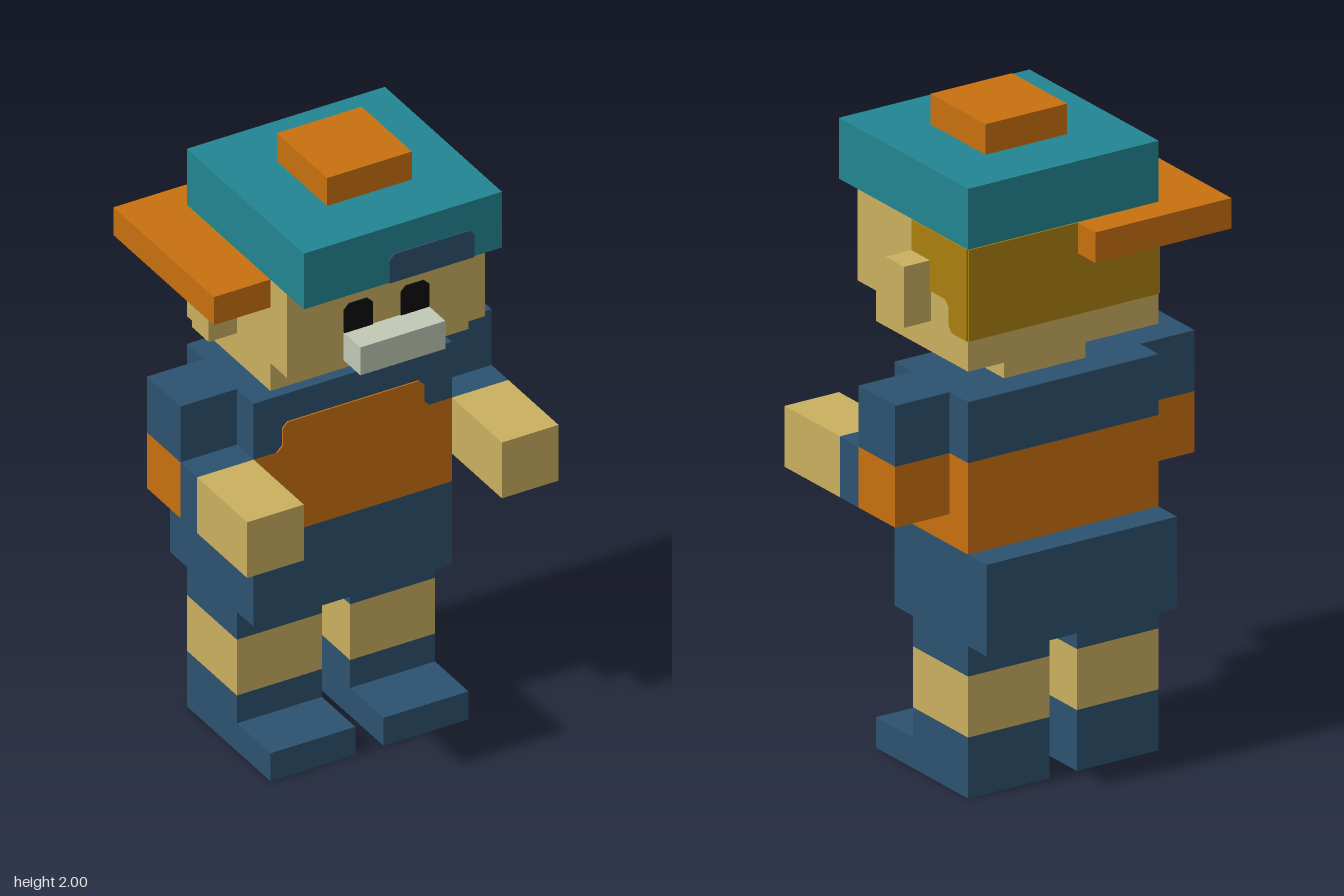
import * as THREE from 'three';

const U = 2 / 21; // one building unit; the figure is 21 units tall
const T = 0.05;   // thickness of painted plates, in units

function mat(name, color) {
  const m = new THREE.MeshStandardMaterial({ color });
  m.name = name;
  return m;
}

export function createModel() {
  const skin = mat('skin', 0xc9af5f);
  const navy = mat('navy', 0x2c526f);
  const orange = mat('orange', 0xc8700f);
  const teal = mat('teal', 0x228591);
  const hair = mat('hair', 0xab7f0e);
  const grey = mat('paleGrey', 0xc0c8b5);
  const black = mat('black', 0x0c0c0c);

  const model = new THREE.Group();
  model.name = 'blockFigure';
  model.scale.setScalar(U);

  const part = (name, parent = model) => {
    const g = new THREE.Group();
    g.name = name;
    parent.add(g);
    return g;
  };

  // Box given by its limits on each axis
  const box = (parent, name, material, [x0, x1], [y0, y1], [z0, z1]) => {
    const geo = new THREE.BoxGeometry(x1 - x0, y1 - y0, z1 - z0);
    geo.translate((x0 + x1) / 2, (y0 + y1) / 2, (z0 + z1) / 2);
    const mesh = new THREE.Mesh(geo, material);
    mesh.name = name;
    parent.add(mesh);
    return mesh;
  };

  // Thin painted plate cut from an outline
  const plate = (parent, name, material, points) => {
    const shape = new THREE.Shape(points.map(([x, y]) => new THREE.Vector2(x, y)));
    const geo = new THREE.ExtrudeGeometry(shape, { depth: T, bevelEnabled: false });
    const mesh = new THREE.Mesh(geo, material);
    mesh.name = name;
    parent.add(mesh);
    return mesh;
  };

  // Rectangle with nipped upper corners
  const tab = (x0, x1, y0, y1, c = 0.18) => [
    [x0, y0], [x1, y0], [x1, y1 - c], [x1 - c, y1], [x0 + c, y1], [x0, y1 - c],
  ];

  // Legs and arms, mirrored
  for (const s of [1, -1]) {
    const side = s > 0 ? 'left' : 'right';
    const span = (a, b) => (s > 0 ? [a, b] : [-b, -a]);

    const leg = part(side + 'Leg');
    const lx = span(0.5, 3.5);
    box(leg, 'trouserHem', navy, lx, [4, 5], [-3, 0]);
    box(leg, 'shin', skin, lx, [2, 4], [-3, 0]);
    box(leg, 'boot', navy, lx, [0, 2], [-3, 0]);
    box(leg, 'toe', navy, lx, [0, 1], [0, 2]);

    const arm = part(side + 'Arm');
    const ax = span(3.5, 5.5);
    box(arm, 'shoulder', navy, ax, [11, 13], [-2, 0]);
    box(arm, 'elbow', orange, ax, [9, 11], [-2, 0]);
    box(arm, 'cuff', navy, ax, [9, 11], [0, 1]);
    box(arm, 'forearm', skin, ax, [9, 11], [1, 4]);
  }

  // Torso
  const torso = part('torso');
  box(torso, 'hips', navy, [-3.5, 3.5], [5, 8], [-4, 1]);
  box(torso, 'belly', orange, [-3.5, 3.5], [8, 11], [-3, 1]);
  box(torso, 'chest', navy, [-3.5, 3.5], [11, 13], [-3, 1]);
  plate(torso, 'bib', orange, [
    [-2.7, 11], [2.7, 11], [2.5, 11.2], [2.5, 11.82],
    [2.32, 12], [-2.32, 12], [-2.5, 11.82], [-2.5, 11.2],
  ]).position.z = 1;

  // Head
  const head = part('head');
  box(head, 'neck', skin, [-1.5, 1.5], [13, 14], [-2, 0]);
  box(head, 'chin', skin, [-3.5, 3.5], [14, 15], [-3, 2]);
  box(head, 'face', skin, [-3.5, 3.5], [15, 18], [-3, 3]);
  box(head, 'muzzle', grey, [-1.5, 1.5], [15, 16], [3, 4]);
  for (const s of [1, -1]) {
    const side = s > 0 ? 'left' : 'right';
    box(head, side + 'Ear', skin, s > 0 ? [3.5, 4.5] : [-4.5, -3.5], [15, 17], [-1, 0]);
    plate(head, side + 'Eye', black, tab(s - 0.5, s + 0.5, 16, 17)).position.z = 3;

    // Hair on the side of the head, drawn with depth running backwards
    const sideHair = plate(head, side + 'Hair', hair, [
      [3, 15], [3, 18], [0, 18], [0, 17], [1, 17], [1, 16],
      [1.82, 16], [2, 15.82], [2, 15.2], [2.2, 15],
    ]);
    sideHair.rotation.y = Math.PI / 2;
    sideHair.position.x = s > 0 ? 3.5 : -3.5 - T;
  }
  box(head, 'backHair', hair, [-3.5, 3.5], [15, 18], [-3 - T, -3]);

  // Cap with a brim turned to the back
  const cap = part('cap');
  box(cap, 'crown', teal, [-3.5, 3.5], [18, 20], [-3, 4]);
  box(cap, 'button', orange, [-1.5, 1.5], [20, 21], [-1, 2]);
  box(cap, 'brim', orange, [-5.5, -0.5], [17, 18], [-4, 2]);
  plate(cap, 'patch', navy, tab(-0.5, 2.5, 18, 19)).position.z = 4;

  return model;
}
